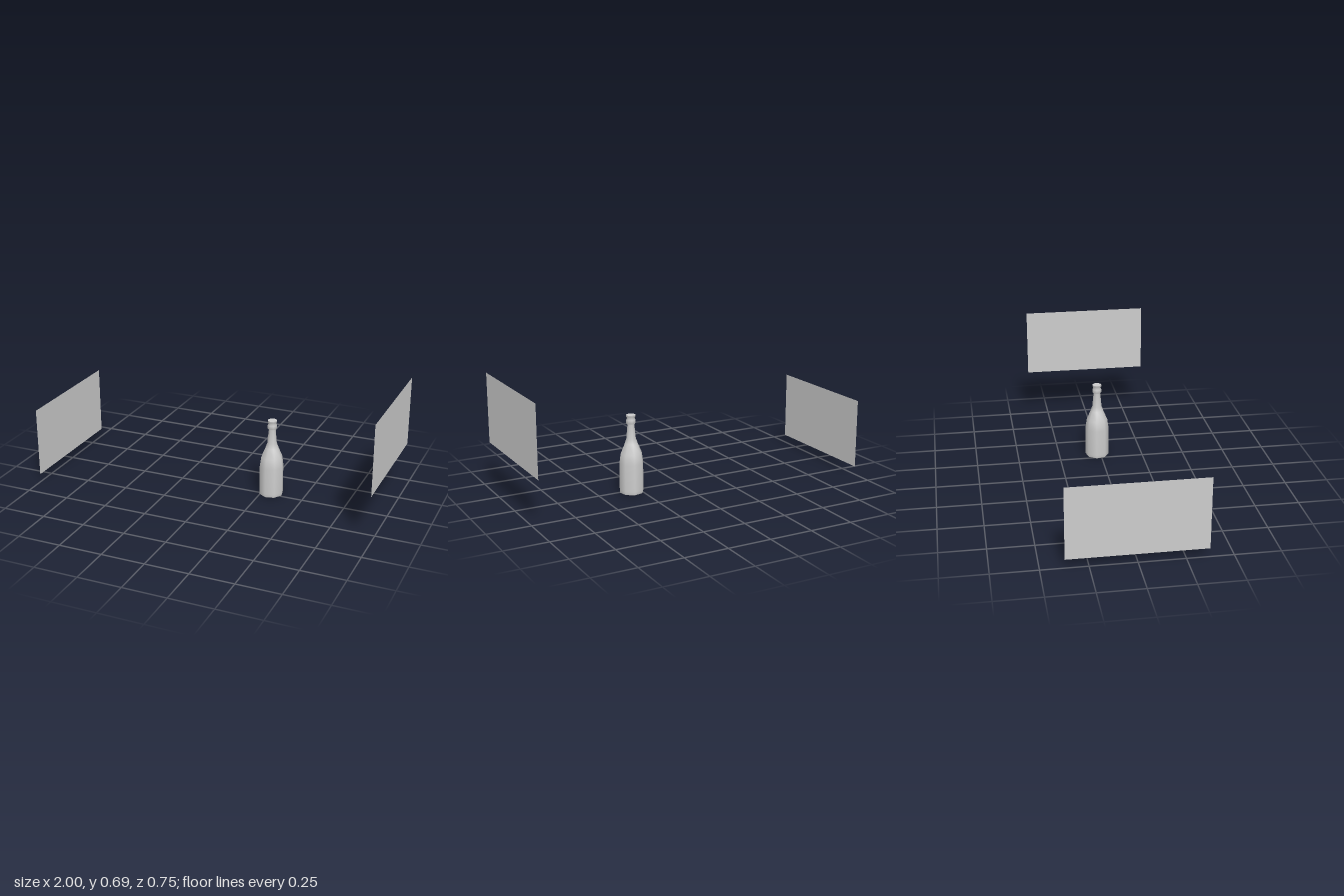
import * as THREE from 'three';

const grey = new THREE.MeshStandardMaterial({ color: 0xcccccc, side: THREE.DoubleSide });
const SIDES = 8;

// Low-poly turned surface from [radius, y] points, listed bottom to top
function turned(name, points) {
  const profile = points.map(([r, y]) => new THREE.Vector2(r, y));
  const mesh = new THREE.Mesh(new THREE.LatheGeometry(profile, SIDES), grey);
  mesh.name = name;
  return mesh;
}

// Upright thin panel facing along x
function panel(name, x, bottom) {
  const width = 0.746, height = 0.403;
  const geometry = new THREE.PlaneGeometry(width, height).rotateY(Math.PI / 2);
  const mesh = new THREE.Mesh(geometry, grey);
  mesh.name = name;
  mesh.position.set(x, bottom + height / 2, 0);
  return mesh;
}

export function createModel() {
  const model = new THREE.Group();
  model.name = 'bottleWithPanels';

  // Bottle: hollowed base, outer wall with neck ring and lip, closed mouth
  const bottle = new THREE.Group();
  bottle.name = 'bottle';
  bottle.add(
    turned('bottleBase', [[0, 0.03], [0.035, 0.022], [0.056, 0.002], [0.067, 0]]),
    turned('bottleWall', [
      [0.067, 0], [0.07, 0.004], [0.07, 0.02], [0.07, 0.175], [0.062, 0.232],
      [0.038, 0.289], [0.028, 0.318], [0.02, 0.4], [0.027, 0.407], [0.027, 0.427],
      [0.021, 0.436], [0.027, 0.445], [0.027, 0.455],
    ]),
    turned('bottleMouth', [[0.027, 0.455], [0, 0.455]]),
  );
  bottle.position.set(0.305, 0, -0.02);
  bottle.rotation.y = -0.17;
  model.add(bottle);

  // Two side panels, the left one set higher
  model.add(panel('leftPanel', 1, 0.289), panel('rightPanel', -1, 0.048));
  return model;
}
